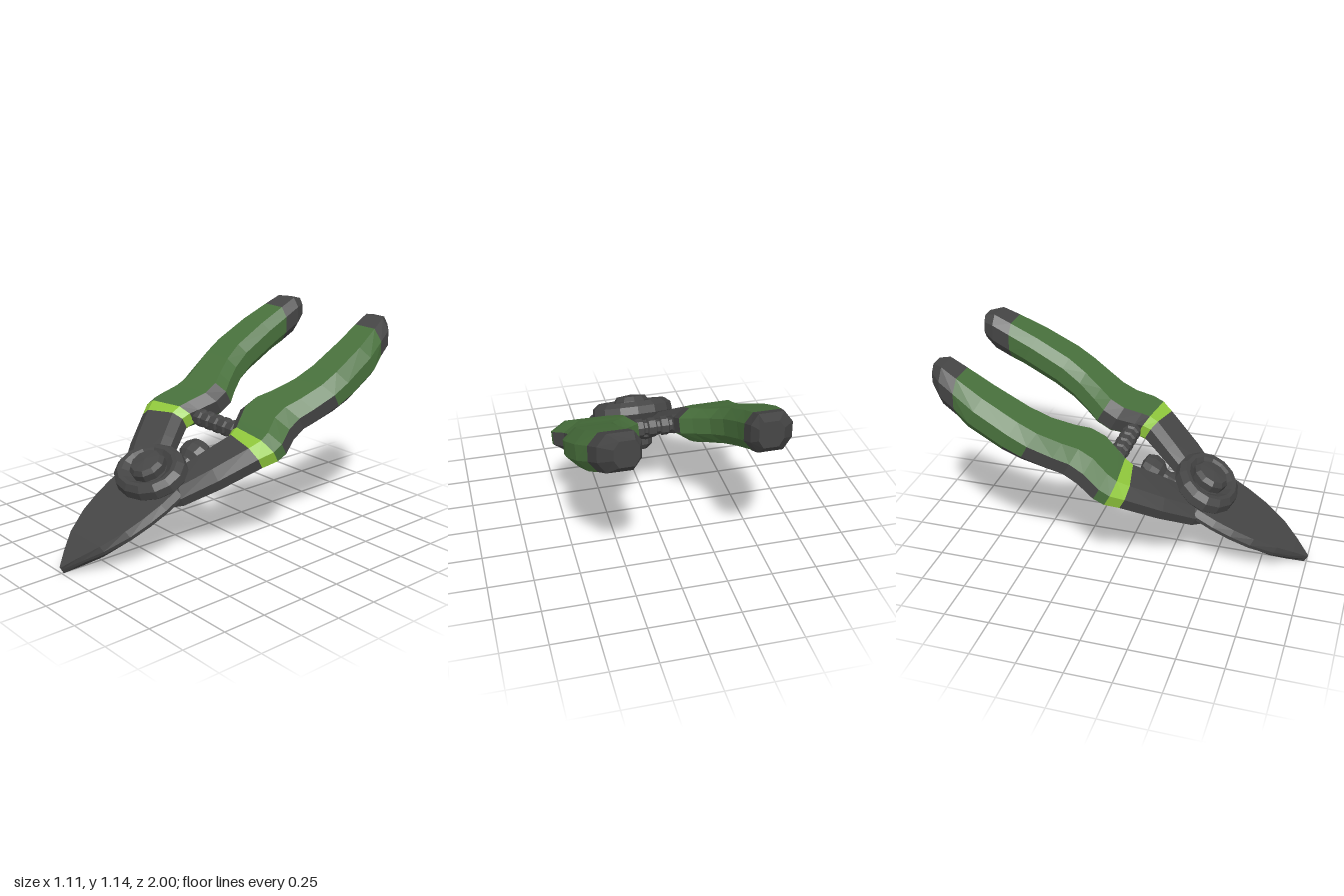
import * as THREE from 'three';

const charcoal = new THREE.MeshStandardMaterial({ color: 0x454545 });
const green = new THREE.MeshStandardMaterial({ color: 0x48703c });
const lime = new THREE.MeshStandardMaterial({ color: 0x90c83c });
charcoal.name = 'charcoal';
green.name = 'grip green';
lime.name = 'lime';

// Cross-section outline as [inner-to-outer, bottom-to-top] fractions
const RING = [[0, 0.3], [0, 0.74], [0.17, 1], [0.78, 1], [1, 0.7], [1, 0.3], [0.8, 0], [0.2, 0]];
const EDGE = [[0, 0.45], [0, 0.65], [0.05, 1], [0.95, 1], [1, 0.65], [1, 0.45], [0.85, 0], [0.15, 0]];

// Faceted loft. Section: [zInner, xInner, zOuter, xOuter, bottom, top, lean]
function loft(name, sections, materials, { ring = RING, side = 1, pick = () => 0 } = {}) {
  const rows = sections.map(([zi, xi, zo, xo, b, t, lean = 0]) => ring.map(([u, v]) => {
    const y = b + (t - b) * v;
    return [side * (xi + (xo - xi) * u), y, zi + (zo - zi) * u - lean * y];
  }));
  const buckets = materials.map(() => []);
  const tri = (m, a, b, c) => buckets[m].push(...a, ...(side > 0 ? [...b, ...c] : [...c, ...b]));
  const n = ring.length, last = rows.length - 1;
  for (let i = 0; i < last; i++) {
    for (let j = 0; j < n; j++) {
      const k = (j + 1) % n, m = pick(i, j);
      tri(m, rows[i][j], rows[i + 1][j], rows[i + 1][k]);
      tri(m, rows[i][j], rows[i + 1][k], rows[i][k]);
    }
  }
  for (let j = 1; j < n - 1; j++) {
    tri(0, rows[0][0], rows[0][j], rows[0][j + 1]);
    tri(0, rows[last][0], rows[last][j + 1], rows[last][j]);
  }
  const geo = new THREE.BufferGeometry();
  geo.setAttribute('position', new THREE.Float32BufferAttribute(buckets.flat(), 3));
  let start = 0;
  buckets.forEach((list, m) => {
    geo.addGroup(start, list.length / 3, m);
    start += list.length / 3;
  });
  geo.computeVertexNormals();
  const mesh = new THREE.Mesh(geo, materials);
  mesh.name = name;
  return mesh;
}

// Faceted turned part, profile as [radius, height] from low to high
function turned(name, profile, sides) {
  const lathe = new THREE.LatheGeometry(profile.map(([r, y]) => new THREE.Vector2(r, y)), sides);
  const geo = lathe.toNonIndexed();
  geo.computeVertexNormals();
  const mesh = new THREE.Mesh(geo, charcoal);
  mesh.name = name;
  return mesh;
}

// Dark inlays: inner hook, and outer finger groove tapering to the rear
function isInlay(i, j) {
  const hook = i >= 5 && j <= 1;
  const groove = i >= 3 && i <= 6 && (j === 4 || j === 5);
  const grooveTip = i === 2 && j === 5;
  return hook || groove || grooveTip;
}

function handle(side) {
  const g = new THREE.Group();
  g.name = side > 0 ? 'leftHandle' : 'rightHandle';
  const capEdge = [-0.955, 0.262, -0.955, 0.497, -0.1, 0.092, 0.5];
  const bandBack = [-0.045, 0.185, -0.005, 0.545, -0.06, 0.102];
  const bandFront = [0.005, 0.2, 0.072, 0.5, -0.055, 0.097];
  g.add(loft('endCap', [
    [-1.13, 0.282, -1.13, 0.405, -0.075, 0.05, 0.5],
    [-1.065, 0.26, -1.055, 0.47, -0.1, 0.088, 0.5],
    capEdge,
  ], [charcoal], { side }));
  g.add(loft('grip', [
    capEdge,
    [-0.83, 0.268, -0.83, 0.535, -0.1, 0.096],
    [-0.61, 0.262, -0.61, 0.553, -0.097, 0.098],
    [-0.48, 0.228, -0.5, 0.548, -0.09, 0.095],
    [-0.36, 0.165, -0.36, 0.515, -0.085, 0.097],
    [-0.28, 0.112, -0.27, 0.49, -0.082, 0.102],
    [-0.19, 0.103, -0.18, 0.498, -0.08, 0.104],
    [-0.09, 0.155, -0.07, 0.545, -0.068, 0.104],
    bandBack,
  ], [green, charcoal], { side, pick: (i, j) => (isInlay(i, j) ? 1 : 0) }));
  g.add(loft('band', [bandBack, bandFront], [lime], { side }));
  g.add(loft('arm', [
    bandFront,
    [0.14, 0.135, 0.28, 0.385, -0.06, 0.08],
    [0.27, 0.075, 0.46, 0.262, -0.062, 0.06],
    [0.34, -0.04, 0.55, 0.16, -0.04, 0.05],
  ], [charcoal], { side }));
  return g;
}

export function createModel() {
  const model = new THREE.Group();
  model.name = 'pruningShears';
  const body = new THREE.Group();
  body.name = 'shears';
  body.rotation.x = 0.495;
  body.position.y = 0.54;
  model.add(body);
  body.add(handle(1), handle(-1));

  // Pointed blade
  const blade = [
    [0.3, 0.15, -0.03, 0.05], [0.44, 0.256, -0.03, 0.06], [0.56, 0.256, -0.03, 0.062],
    [0.67, 0.242, -0.03, 0.064], [0.79, 0.212, -0.03, 0.065], [0.93, 0.148, -0.028, 0.062],
    [1.03, 0.078, -0.018, 0.052], [1.125, 0.006, -0.006, 0.036],
  ].map(([z, w, b, t]) => [z, -w, z, w, b, t]);
  body.add(loft('blade', blade, [charcoal], { ring: EDGE }));

  // Pivot: dished washer and bolt head on top, smaller ones below
  const pivot = new THREE.Group();
  pivot.name = 'pivot';
  pivot.position.z = 0.41;
  const washer = turned('topWasher', [[0.2, 0.03], [0.24, 0.07], [0.235, 0.115], [0.2, 0.143], [0.17, 0.14], [0.115, 0.105], [0, 0.105]], 14);
  washer.scale.z = 0.78;
  washer.position.z = 0.012;
  const bolt = turned('topBolt', [[0.1, 0.08], [0.103, 0.145], [0.085, 0.17], [0, 0.18]], 10);
  bolt.position.z = 0.008;
  const lowWasher = turned('bottomWasher', [[0, -0.07], [0.13, -0.075], [0.185, -0.06], [0.195, -0.02]], 12);
  const lowBolt = turned('bottomBolt', [[0, -0.155], [0.06, -0.148], [0.095, -0.12], [0.1, -0.05]], 10);
  pivot.add(washer, bolt, lowWasher, lowBolt);
  body.add(pivot);

  // Locking catch with a rounded thumb knob
  const catchKnob = turned('lockingCatch', [[0, 0.06], [0.07, 0.07], [0.1, 0.115], [0.09, 0.165],
    [0.045, 0.2], [0.042, 0.225], [0.075, 0.265], [0.08, 0.33]], 10);
  catchKnob.geometry.rotateX(Math.PI / 2);
  catchKnob.scale.y = 0.55;
  catchKnob.position.y = -0.015;
  body.add(catchKnob);

  // Ribbed spring between the handles
  const ribs = [[0.039, -0.22]];
  for (const x of [-0.14, -0.07, 0, 0.07, 0.14]) {
    ribs.push([0.039, x - 0.027], [0.052, x - 0.019], [0.052, x + 0.019], [0.039, x + 0.027]);
  }
  ribs.push([0.039, 0.22]);
  const spring = turned('spring', ribs, 8);
  spring.geometry.rotateZ(-Math.PI / 2);
  spring.position.set(0, 0.012, -0.08);
  body.add(spring);
  return model;
}
